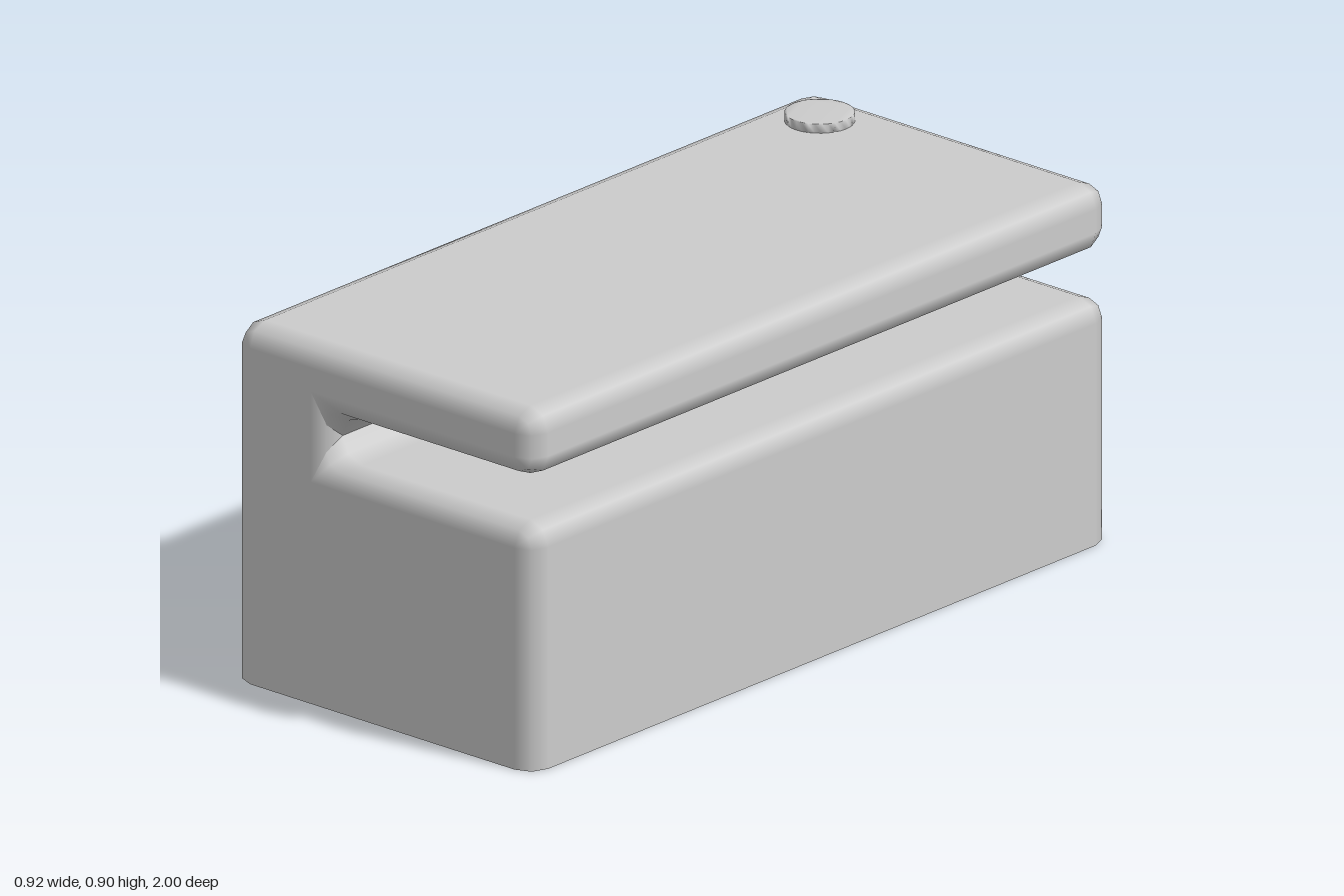
import * as THREE from 'three';
import { mergeVertices } from 'three/addons/utils/BufferGeometryUtils.js';

const R = 0.055; // edge rounding
// the body is a hollow shell, open underneath
const material = new THREE.MeshStandardMaterial({ color: 0xcccccc, side: THREE.DoubleSide });

// Outline points: core (flat end face), full (widest section) and outward normal
function makeOutline() {
  const points = [];
  const add = (cx, cy, fx, fy, deg) => {
    const a = THREE.MathUtils.degToRad(deg);
    points.push({ cx, cy, fx, fy, nx: Math.cos(a), ny: Math.sin(a) });
  };
  const round = (x, y, ...degrees) => degrees.forEach((deg) => {
    const a = THREE.MathUtils.degToRad(deg);
    add(x, y, x + R * Math.cos(a), y + R * Math.sin(a), deg);
  });
  round(0.406, 0, 0);
  round(0.406, 0.545, 0, 45, 90);
  // closed end of the slot: two halves creased in the middle, a triangular bevel at each mouth
  add(-0.22, 0.545, -0.11, 0.599, 90);
  add(-0.22, 0.545, -0.154, 0.616, 55);
  add(-0.22, 0.545, -0.17, 0.657, 40);
  add(-0.22, 0.545, -0.17, 0.657, 0);
  add(-0.22, 0.769, -0.17, 0.657, 0);
  add(-0.22, 0.769, -0.17, 0.657, -40);
  add(-0.22, 0.769, -0.154, 0.698, -55);
  add(-0.22, 0.769, -0.11, 0.714, -90);
  // upper arm
  round(0.406, 0.769, -90, -45, 0);
  round(0.406, 0.826, 0, 45, 90);
  round(-0.406, 0.826, 90, 135, 180);
  round(-0.406, 0, 180);
  return points;
}

// Rounded skin lofted from the front to the back
function skinGeometry(outline, layers) {
  const position = [], normal = [], index = [];
  const n = outline.length;
  layers.forEach(({ s, c, z }, j) => outline.forEach((p, i) => {
    position.push(p.cx + (p.fx - p.cx) * s, p.cy + (p.fy - p.cy) * s, z);
    normal.push(p.nx * s, p.ny * s, c);
    if (j < layers.length - 1 && i < n - 1) {
      const a = j * n + i, b = a + n;
      index.push(a, b, a + 1, a + 1, b, b + 1);
    }
  }));
  const g = new THREE.BufferGeometry();
  g.setAttribute('position', new THREE.Float32BufferAttribute(position, 3));
  g.setAttribute('normal', new THREE.Float32BufferAttribute(normal, 3));
  g.setIndex(index);
  return g;
}

export function createModel() {
  const model = new THREE.Group();
  model.name = 'slottedBlock';
  const add = (name, geometry, parent = model) => {
    const mesh = new THREE.Mesh(geometry, material);
    mesh.name = name;
    parent.add(mesh);
    return mesh;
  };

  const body = new THREE.Group();
  body.name = 'body';
  model.add(body);
  const outline = makeOutline();
  const front = [0, 45, 90].map((deg) => {
    const a = THREE.MathUtils.degToRad(deg);
    return { s: Math.sin(a), c: Math.cos(a), z: 1 - R + R * Math.cos(a) };
  });
  const back = front.map(({ s, c, z }) => ({ s, c: -c, z: -z })).reverse();
  add('skin', skinGeometry(outline, [...front, ...back]), body);

  // Flat end faces
  const face = new THREE.Shape();
  outline.forEach((p, i) => {
    const q = outline[i - 1];
    if (!q) face.moveTo(p.cx, p.cy);
    else if (q.cx !== p.cx || q.cy !== p.cy) face.lineTo(p.cx, p.cy);
  });
  add('frontFace', new THREE.ShapeGeometry(face).translate(0, 0, 1), body);
  const mirrored = new THREE.Shape(face.getPoints().map((p) => new THREE.Vector2(-p.x, p.y)));
  add('backFace', new THREE.ShapeGeometry(mirrored).rotateY(Math.PI).translate(0, 0, -1), body);

  // Button with softly shaded rim
  const circle = new THREE.Shape().absarc(0, 0, 0.081, 0, Math.PI * 2);
  let disc = new THREE.ExtrudeGeometry(circle, { depth: 0.023, curveSegments: 16, bevelEnabled: false });
  disc.deleteAttribute('normal');
  disc.deleteAttribute('uv');
  disc = mergeVertices(disc.rotateX(-Math.PI / 2));
  disc.computeVertexNormals();
  add('button', disc).position.set(-0.294, 0.88, -0.84);

  return model;
}
